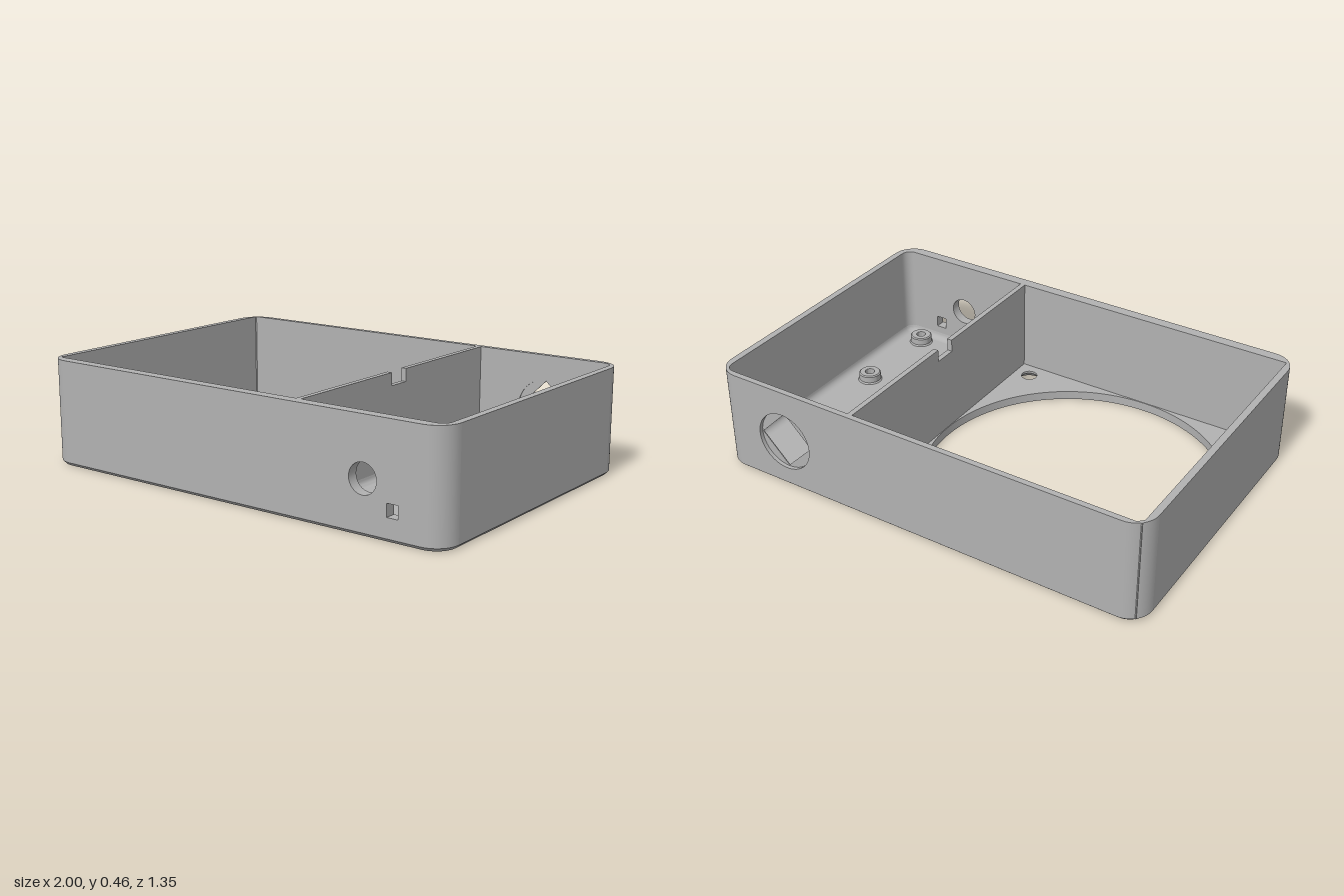
import * as THREE from 'three';
import { toCreasedNormals } from 'three/addons/utils/BufferGeometryUtils.js';

const H = 0.46, W = 1, D = 0.677, R = 0.1;      // outer height, half width, half depth, corner radius
const CHAMFER = 0.015, FLOOR = 0.04, TRAY = 0.03;
const FRONT = 0.63, BACK = -0.652;              // inner faces of front and back walls
const LEFT = -0.97, MID0 = 0.31, MID1 = 0.333, RIGHT = 0.97;

const V = (x, y) => new THREE.Vector2(x, y);

// Points of an arc, angles in quarter turns
function arc(cx, cy, r, a, b, n) {
  return Array.from({ length: n + 1 }, (_, i) => {
    const t = (a + (b - a) * i / n) * Math.PI / 2;
    return V(cx + r * Math.cos(t), cy + r * Math.sin(t));
  });
}
const circle = (cx, cy, r, n = 32) => arc(cx, cy, r, 0, 4, n).slice(0, n);
const rect = (x0, y0, x1, y1) => [V(x0, y0), V(x1, y0), V(x1, y1), V(x0, y1)];
function roundRect(x0, y0, x1, y1, r) {
  return [
    ...arc(x1 - r, y1 - r, r, 0, 1, 10), ...arc(x0 + r, y1 - r, r, 1, 2, 10),
    ...arc(x0 + r, y0 + r, r, 2, 3, 10), ...arc(x1 - r, y0 + r, r, 3, 4, 10),
  ];
}
function shape(points, holes = []) {
  const s = new THREE.Shape(points);
  s.holes = holes.map(h => new THREE.Path(h));
  return s;
}

// Skin between closed plan loops given as [points, y]
function loft(rings) {
  const pos = [], idx = [], n = rings[0][0].length;
  for (const [pts, y] of rings) for (const p of pts) pos.push(p.x, y, p.y);
  for (let k = 0; k < rings.length - 1; k++) {
    for (let i = 0; i < n; i++) {
      const a = k * n + i, b = k * n + (i + 1) % n;
      idx.push(a, a + n, b, b, a + n, b + n);
    }
  }
  const g = new THREE.BufferGeometry();
  g.setAttribute('position', new THREE.Float32BufferAttribute(pos, 3));
  g.setIndex(idx);
  return toCreasedNormals(g, 0.6);
}

export function createModel() {
  const model = new THREE.Group();
  model.name = 'fanAndElectronicsEnclosure';
  const grey = new THREE.MeshStandardMaterial({ color: 0xb2b2b2, side: THREE.DoubleSide });
  grey.name = 'plasticGrey';

  const add = (name, geometry) => {
    const mesh = new THREE.Mesh(geometry, grey);
    mesh.name = name;
    model.add(mesh);
    return mesh;
  };
  const extrude = (s, depth) =>
    toCreasedNormals(new THREE.ExtrudeGeometry(s, { depth, bevelEnabled: false }), 0.6);
  const flat = (s, y) => new THREE.ShapeGeometry(s).rotateX(Math.PI / 2).translate(0, y, 0);

  // Floor with the large fan opening and four countersunk screw holes
  const fan = circle(-0.33, -0.011, 0.638, 96);
  const screws = [];
  for (const x of [-0.897, 0.235]) for (const z of [-0.576, 0.554]) screws.push([x, z]);
  const inset = roundRect(-W + CHAMFER, -D + CHAMFER, W - CHAMFER, D - CHAMFER, R - CHAMFER);
  const outline = roundRect(-W, -D, W, D, R);
  add('underside', flat(shape(inset, [fan, ...screws.map(([x, z]) => circle(x, z, 0.066))]), 0));
  add('bottomChamfer', loft([[outline, CHAMFER], [inset, 0]]));
  add('fanFloor', flat(shape(rect(LEFT, BACK, MID0, FRONT),
    [fan, ...screws.map(([x, z]) => circle(x, z, 0.036))]), FLOOR));
  add('fanOpeningRim', loft([[fan, 0], [fan, FLOOR]]));
  for (const [x, z] of screws) {
    const narrow = circle(x, z, 0.036);
    add('screwHole', loft([[circle(x, z, 0.066), 0], [narrow, 0.03], [narrow, FLOOR]]));
  }

  // Electronics tray: flat floor blending into the walls with a fillet
  const trayLoop = i => roundRect(MID1 + i, BACK + i, RIGHT - i, FRONT - i, 0.042 - i);
  add('trayFloor', flat(shape(trayLoop(0.03)), TRAY));
  const fillet = [];
  for (let k = 0; k <= 6; k++) {
    const t = k / 6 * Math.PI / 2;
    fillet.push([trayLoop(0.03 * (1 - Math.sin(t))), TRAY + 0.03 * (1 - Math.cos(t))]);
  }
  add('trayFillet', loft(fillet));

  // Standoffs with blind screw holes
  const post = [[0.055, TRAY], [0.05, 0.037], [0.05, 0.065], [0.045, 0.07],
    [0.022, 0.07], [0.022, 0.035], [0, 0.035]].map(p => V(...p));
  for (const x of [0.443, 0.855]) {
    for (const z of [0.146, 0.556]) {
      add('standoff', toCreasedNormals(new THREE.LatheGeometry(post, 32), 0.6)).position.set(x, 0, z);
    }
  }

  // Front wall with a cable hole and a small square port
  const wall = rect(-W + R, CHAMFER, W - R, H);
  const front = shape(wall, [circle(0.65, 0.22, 0.062), rect(0.757, 0.095, 0.807, 0.148)]);
  add('frontWall', extrude(front, D - FRONT).translate(0, 0, FRONT));

  // Back wall with a large round hole and a thin diamond-shaped inner web
  const port = circle(0.66, 0.22, 0.13, 48);
  add('backWall', extrude(shape(wall, [port]), BACK + D).translate(0, 0, -D));
  add('backHoleWeb', extrude(shape(port, [circle(0.66, 0.22, 0.126, 4)]), 0.004)
    .translate(0, 0, BACK - 0.008));

  // Side walls
  for (const [name, x0, x1] of [['rightSideWall', -W, LEFT], ['leftSideWall', RIGHT, W]]) {
    add(name, new THREE.BoxGeometry(x1 - x0, H - CHAMFER, 2 * (D - R))
      .translate((x0 + x1) / 2, (H + CHAMFER) / 2, 0));
  }

  // Rounded outer corners; the tray side is rounded inside as well
  for (const sx of [-1, 1]) {
    for (const sz of [-1, 1]) {
      const ix = RIGHT, iz = sz > 0 ? FRONT : -BACK, r = 0.042;
      const inner = sx > 0 ? arc(ix - r, iz - r, r, 1, 0, 8) : [V(ix, iz)];
      const points = [...arc(W - R, D - R, R, 0, 1, 12), V(W - R, iz), ...inner, V(ix, D - R)];
      const s = shape(points.map(p => V(p.x * sx, p.y * sz)));
      add('wallCorner', extrude(s, H - CHAMFER).rotateX(Math.PI / 2).translate(0, H, 0));
    }
  }

  // Partition with a wire notch in its top edge
  const side = [[-FRONT, TRAY], [-BACK, TRAY], [-BACK, H], [0.062, H], [0.062, H - 0.055],
    [-0.038, H - 0.055], [-0.038, H], [-FRONT, H]].map(p => V(...p));
  add('partition', extrude(shape(side), MID1 - MID0).rotateY(Math.PI / 2).translate(MID0, 0, 0));

  return model;
}
